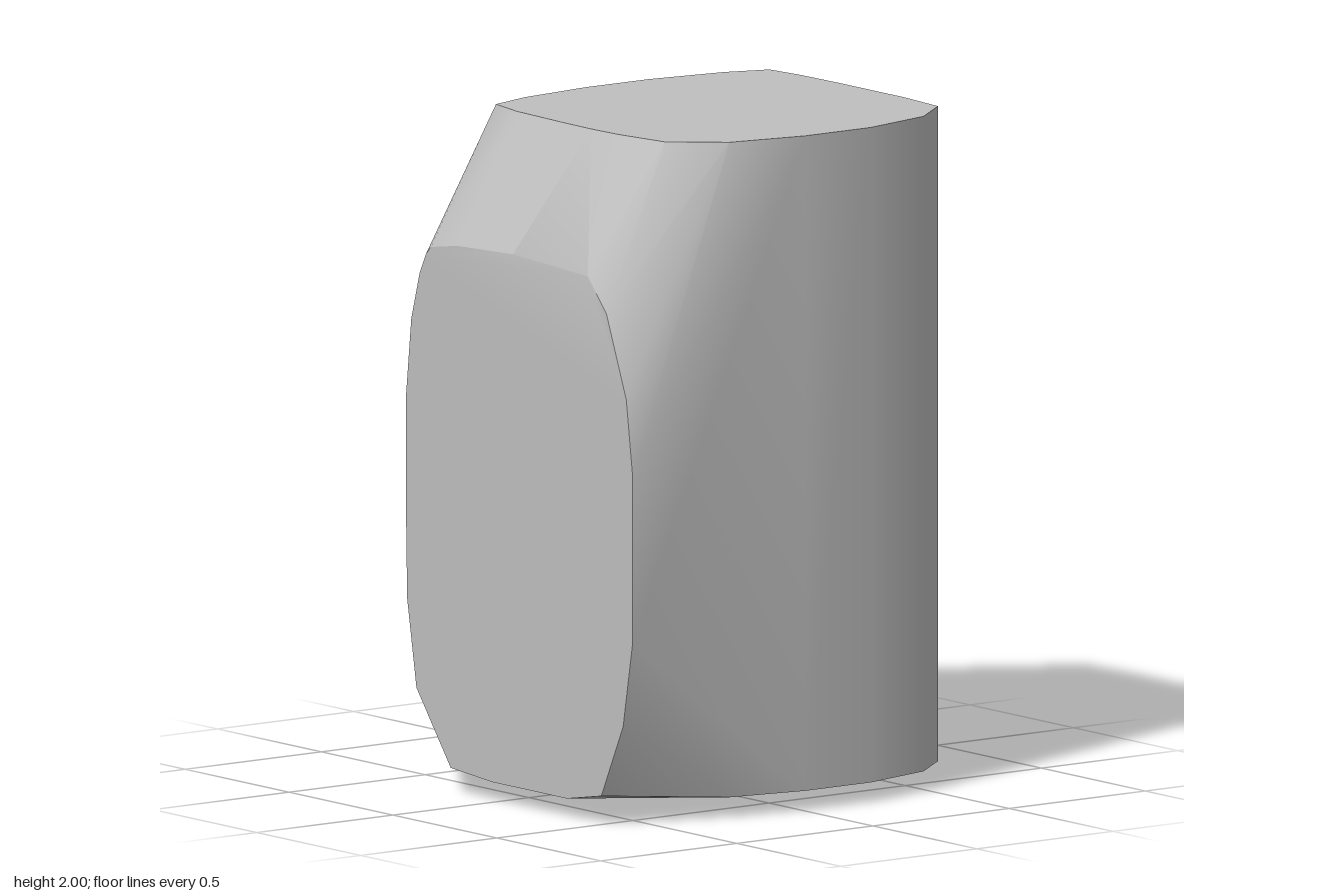
import * as THREE from 'three';
import { ConvexGeometry } from 'three/addons/geometries/ConvexGeometry.js';
import { toCreasedNormals } from 'three/addons/utils/BufferGeometryUtils.js';

// Outlines of the flat facets; the body is the convex skin stretched over them.
// Top facet at y = 2, as [x, z]
const top = [
  [-0.385, -0.23], [-0.385, 0], [-0.355, 0.245], [-0.31, 0.385], [-0.175, 0.412],
  [0.06, 0.422], [0.2, 0.425], [0.325, 0.42], [0.51, 0.39], [0.63, 0.245],
  [0.675, 0], [0.675, -0.24], [0.615, -0.48], [0.5, -0.62], [0.32, -0.635],
  [0, -0.635], [-0.175, -0.63], [-0.305, -0.615], [-0.35, -0.48],
];

// Front facet at z = 0.635, as [x, y]
const front = [
  [-0.415, 1.15], [-0.39, 1.38], [-0.35, 1.52], [-0.32, 1.58], [-0.295, 1.605],
  [-0.17, 1.625], [0.1, 1.637], [0.46, 1.62], [0.55, 1.52], [0.645, 1.28],
  [0.675, 1.06], [0.675, 0.56], [0.63, 0.31], [0.525, 0.09], [0.36, 0.06],
  [0, 0.06], [-0.2, 0.075], [-0.365, 0.29], [-0.41, 0.55], [-0.415, 0.8],
];

// Side facet at x = -0.675, as [z, y]
const side = [
  [-0.605, 1.48], [-0.44, 1.54], [-0.11, 1.555], [0.22, 1.54], [0.36, 1.48],
  [0.405, 1.24], [0.42, 1], [0.41, 0.69], [0.38, 0.29], [0.25, 0],
  [-0.44, 0], [-0.595, 0.167], [-0.635, 0.32], [-0.635, 1.0],
];

// Rim of the slightly tilted base, as [x, y, z]
const base = [
  [0.675, 0.06, 0], [0.64, 0.062, 0.25], [0.675, 0.06, -0.24], [0.615, 0.06, -0.48],
  [0.5, 0.06, -0.62], [0.32, 0.06, -0.635], [-0.28, 0.07, -0.635],
];

export function createModel() {
  const grey = new THREE.MeshStandardMaterial({ color: 0xbfbfbf });
  grey.name = 'grey';

  const points = [
    ...top.map(([x, z]) => new THREE.Vector3(x, 2, z)),
    ...front.map(([x, y]) => new THREE.Vector3(x, y, 0.635)),
    ...side.map(([z, y]) => new THREE.Vector3(-0.675, y, z)),
    ...base.map(([x, y, z]) => new THREE.Vector3(x, y, z)),
  ];

  // Shallow bends stay smooth, steeper ones become sharp edges
  const body = new THREE.Mesh(toCreasedNormals(new ConvexGeometry(points), Math.PI / 6), grey);
  body.name = 'facetedBlock';

  const model = new THREE.Group();
  model.name = 'facetedStone';
  model.add(body);
  return model;
}
